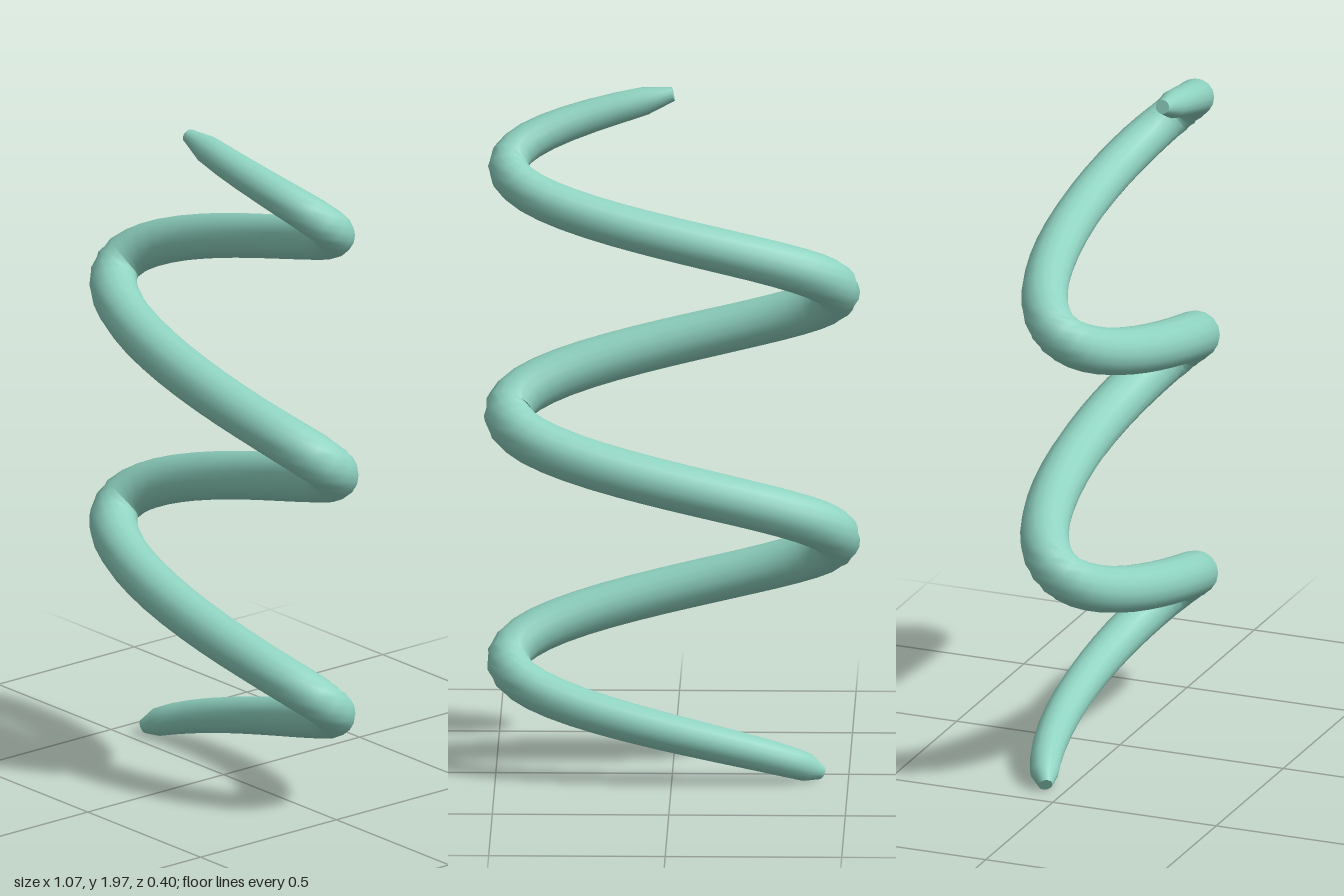
import * as THREE from 'three';

const SEGMENTS = 96, SIDES = 16;
const START = -2.71, END = Math.PI * 4.5; // helix angles in radians
const PITCH = 0.72, TOP = 1.98;
const RX = 0.465, RZ = 0.13, THICK = 0.07;
const UP = new THREE.Vector3(0, 1, 0);

// One cross-section of the coil: perpendicular to the path, thinner near both tips
function ring(t) {
  const a = START + (END - START) * t;
  const rise = PITCH / (2 * Math.PI);
  const center = new THREE.Vector3(RX * Math.cos(a), TOP - (END - a) * rise, RZ * Math.sin(a));
  const tangent = new THREE.Vector3(-RX * Math.sin(a), rise, RZ * Math.cos(a)).normalize();
  const side = new THREE.Vector3().crossVectors(UP, tangent).normalize();
  const lift = new THREE.Vector3().crossVectors(tangent, side);
  const r = Math.max(0.02, THICK * Math.pow(Math.max(0, Math.sin(Math.PI * t)), 0.16));
  const points = [];
  for (let j = 0; j < SIDES; j++) {
    const b = (j / SIDES) * Math.PI * 2;
    points.push(center.clone()
      .addScaledVector(side, r * Math.cos(b))
      .addScaledVector(lift, r * Math.sin(b)));
  }
  return { center, points };
}

function coilGeometry() {
  const positions = [], index = [];
  const add = (p) => positions.push(p.x, p.y, p.z);

  // Tapered tube wall
  for (let i = 0; i <= SEGMENTS; i++) {
    ring(i / SEGMENTS).points.forEach(add);
    if (i === SEGMENTS) break;
    for (let j = 0; j < SIDES; j++) {
      const a = i * SIDES + j, b = i * SIDES + (j + 1) % SIDES;
      index.push(a, b, a + SIDES, b, b + SIDES, a + SIDES);
    }
  }

  // Flat caps with their own vertices, so their rims stay sharp
  for (const t of [0, 1]) {
    const base = positions.length / 3;
    const { center, points } = ring(t);
    add(center);
    points.forEach(add);
    for (let j = 0; j < SIDES; j++) {
      const a = base + 1 + j, b = base + 1 + (j + 1) % SIDES;
      if (t) index.push(base, a, b);
      else index.push(base, b, a);
    }
  }

  const geometry = new THREE.BufferGeometry();
  geometry.setAttribute('position', new THREE.Float32BufferAttribute(positions, 3));
  geometry.setIndex(index);
  geometry.computeVertexNormals();
  return geometry;
}

export function createModel() {
  const group = new THREE.Group();
  group.name = 'spiral';
  const coil = new THREE.Mesh(coilGeometry(), new THREE.MeshStandardMaterial({ color: 0x8fd3c1 }));
  coil.name = 'coil';
  group.add(coil);
  return group;
}
